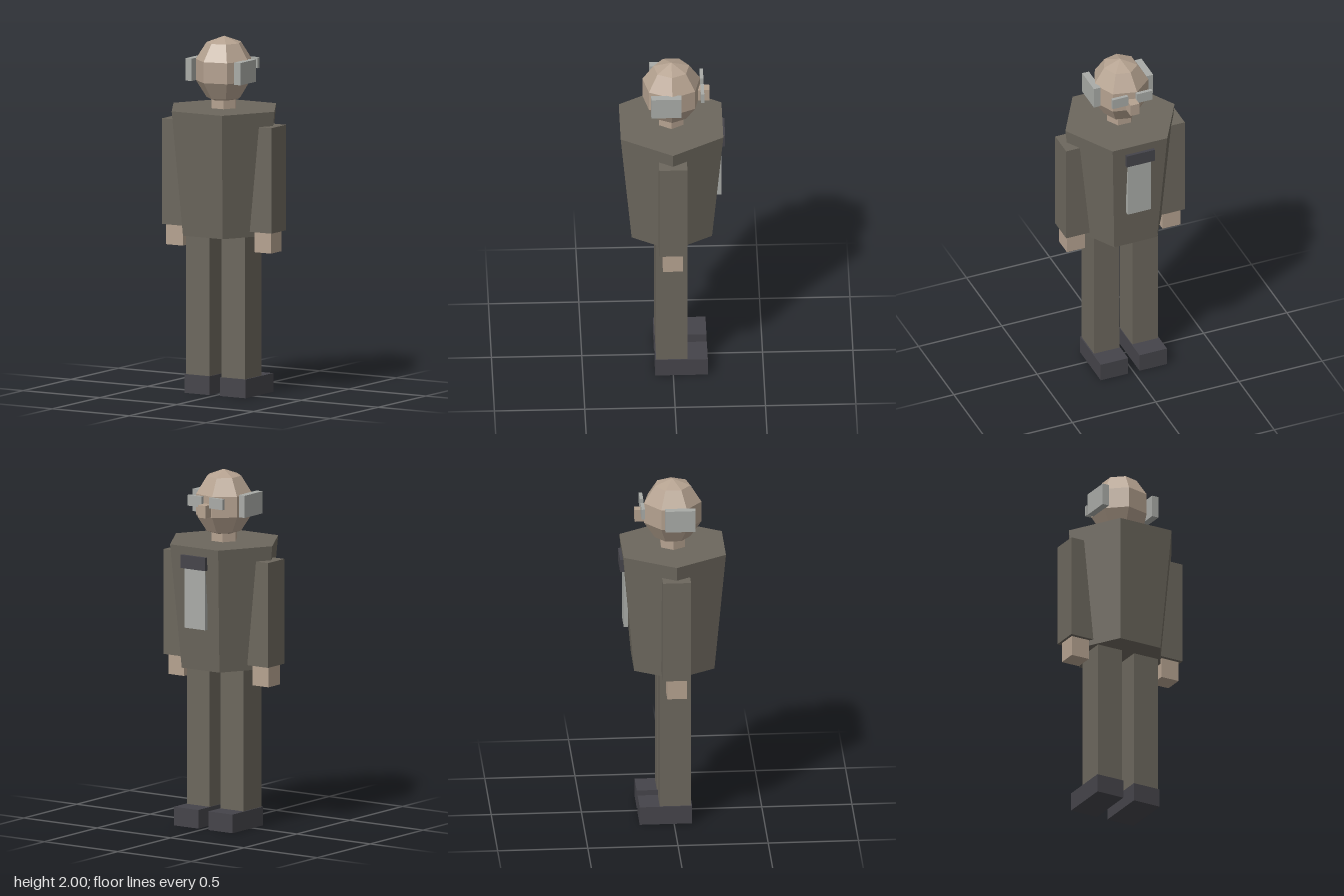
import * as THREE from 'three';

const colour = (name, hex) => {
  const m = new THREE.MeshStandardMaterial({ color: hex });
  m.name = name;
  return m;
};

export function createModel() {
  const suit = colour('suit brown', 0x6c675d);
  const skin = colour('skin tan', 0xb5a290);
  const grey = colour('light grey', 0xa9aba7);
  const dark = colour('dark charcoal', 0x45444a);
  const model = new THREE.Group();
  model.name = 'figure';

  const add = (name, geometry, material) => {
    const mesh = new THREE.Mesh(geometry, material);
    mesh.name = name;
    model.add(mesh);
    return mesh;
  };
  // Box given by its limits on each axis
  const box = (name, material, [x0, x1], [y0, y1], [z0, z1]) =>
    add(name, new THREE.BoxGeometry(x1 - x0, y1 - y0, z1 - z0), material)
      .position.set((x0 + x1) / 2, (y0 + y1) / 2, (z0 + z1) / 2);
  // Mirrored pair of boxes, one on each side of x = 0
  const pair = (name, material, [x0, x1], y, z) => {
    box(name, material, [x0, x1], y, z);
    box(name, material, [-x1, -x0], y, z);
  };
  // Faceted normals for round shapes
  const faceted = (geometry) => {
    const g = geometry.toNonIndexed();
    g.computeVertexNormals();
    return g;
  };
  const hexPrism = (name, material, rTop, rBottom, y0, y1) => {
    const g = new THREE.CylinderGeometry(rTop, rBottom, y1 - y0, 6, 1, false, Math.PI / 2);
    add(name, faceted(g), material).position.set(0, (y0 + y1) / 2, 0.006);
  };

  // Tapered body and neck, with corners pointing sideways
  hexPrism('torso', suit, 0.328, 0.257, 0.9, 1.6);
  hexPrism('neck', skin, 0.077, 0.077, 1.58, 1.68);

  // Seven-sided head
  const headShape = new THREE.SphereGeometry(1, 7, 5, Math.PI);
  headShape.scale(0.164, 0.19, 0.172);
  add('head', faceted(headShape), skin).position.set(0, 1.81, 0.004);

  // Face, looking towards -z
  box('nose', skin, [-0.027, 0.025], [1.755, 1.825], [-0.206, -0.13]);
  pair('lens', grey, [0.026, 0.12], [1.807, 1.867], [-0.174, -0.155]);
  pair('earCover', grey, [0.138, 0.178], [1.75, 1.875], [-0.046, 0.121]);

  // Limbs
  pair('arm', suit, [0.2, 0.356], [0.93, 1.52], [-0.073, 0.083]);
  pair('hand', skin, [0.233, 0.341], [0.815, 0.935], [-0.048, 0.062]);
  pair('leg', suit, [0.038, 0.192], [0.1, 0.905], [-0.079, 0.095]);
  pair('shoe', dark, [0.034, 0.199], [0, 0.105], [-0.191, 0.1]);

  // Chest panel hanging under a dark bar
  box('chestPanel', grey, [-0.07, 0.07], [1.14, 1.5], [-0.27, -0.247]);
  box('chestBar', dark, [-0.084, 0.084], [1.478, 1.552], [-0.291, -0.262]);

  return model;
}
